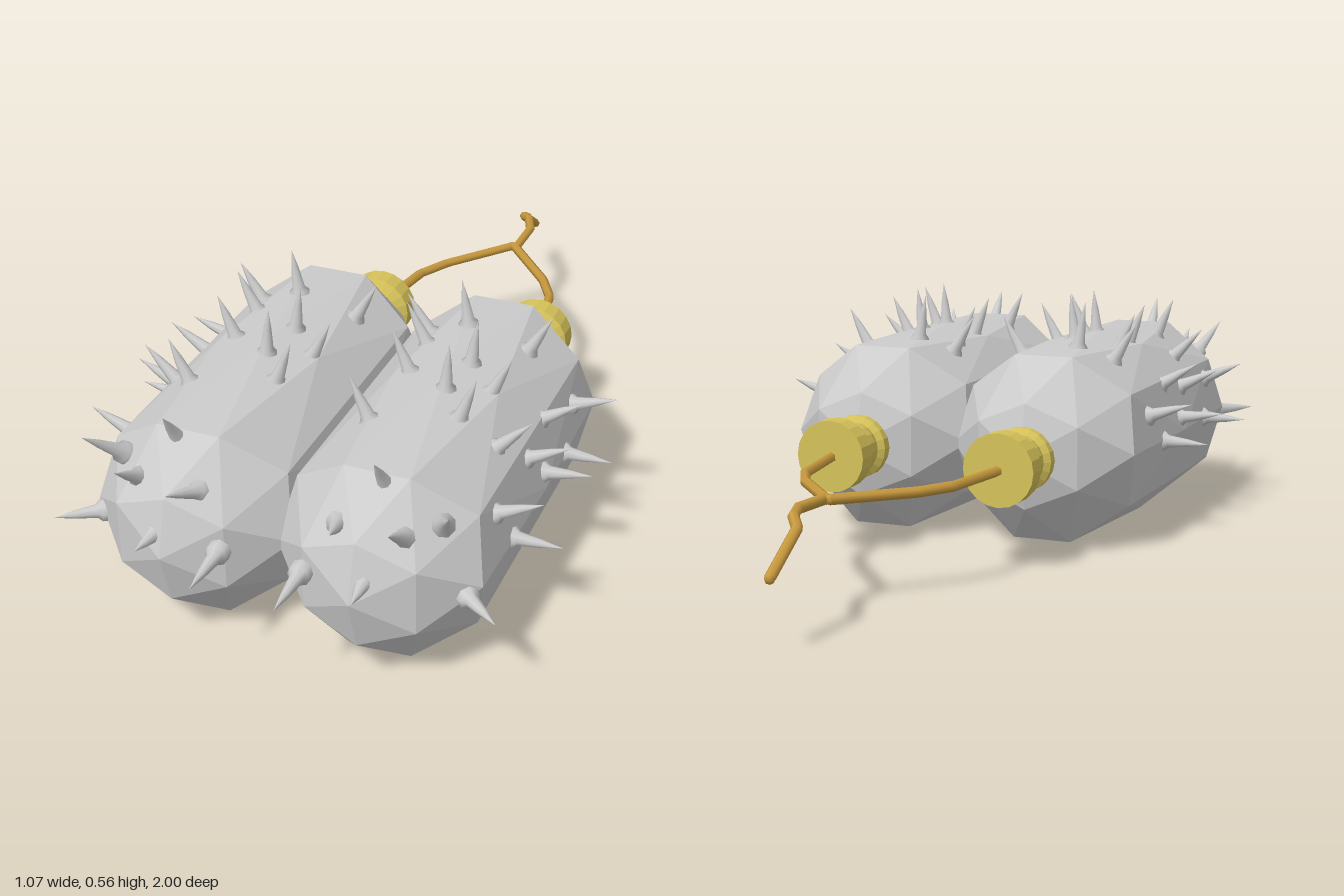
import * as THREE from 'three';
import { ConvexGeometry } from 'three/addons/geometries/ConvexGeometry.js';

const V = (x, y, z) => new THREE.Vector3(x, y, z);
const CX = 0.205, CY = 0.235;

const grey = new THREE.MeshStandardMaterial({ color: 0xcccccc, flatShading: true });
const spikeGrey = new THREE.MeshStandardMaterial({ color: 0xcccccc });
const brass = new THREE.MeshStandardMaterial({ color: 0xd6c25a, flatShading: true });
const gold = new THREE.MeshStandardMaterial({ color: 0xc99a3e });

// One octant of a faceted ball, mirrored to all eight;
// front and back halves are pulled apart along z, the waist stays in the middle
const octant = [[0, 0, 0.28], [0, 0.122, 0.245], [0.12, 0.072, 0.228], [0.07, 0.216, 0.13],
  [0.222, 0, 0.13], [0.195, 0.13, 0.08], [0.118, 0.206, 0], [0.231, 0, 0], [0, 0.23, 0]];
function bodyGeometry() {
  const corners = new Map();
  for (const [x, y, z] of octant)
    for (const sx of [1, -1]) for (const sy of [1, -1]) for (const sz of [1, -1]) {
      const p = V(sx * x, sy * y, 0.385 + sz * (z > 0 ? z + 0.245 : 0));
      corners.set(p.toArray().map(n => n.toFixed(3)).join().replaceAll('-0.000', '0.000'), p);
    }
  return new ConvexGeometry([...corners.values()]);
}

// Unit-height thorn with a small collar at its root
const thorn = new THREE.LatheGeometry(
  [[0.025, 0], [0.024, 0.16], [0.015, 0.24], [0.009, 0.62], [0, 1]].map(p => new THREE.Vector2(...p)), 8);

function addSpike(parent, base, tip) {
  const dir = tip.clone().sub(base);
  const m = new THREE.Mesh(thorn, spikeGrey);
  m.name = 'spike';
  m.position.copy(base);
  m.scale.y = dir.length();
  m.quaternion.setFromUnitVectors(V(0, 1, 0), dir.normalize());
  parent.add(m);
}

// Faceted wire following straight runs between points
function wire(name, points) {
  const path = new THREE.CurvePath();
  for (let i = 1; i < points.length; i++) path.add(new THREE.LineCurve3(points[i - 1], points[i]));
  const m = new THREE.Mesh(new THREE.TubeGeometry(path, 40, 0.012, 6), gold);
  m.name = name;
  const end = new THREE.Mesh(new THREE.SphereGeometry(0.012, 6, 4), gold);
  end.name = name + 'End';
  end.position.copy(points[points.length - 1]);
  m.add(end);
  return m;
}

// Spikes over the upper half: [sideways offset from the body axis, z]
const topSpikes = [[-0.135, 0.17], [-0.04, 0.15], [0.13, 0.17], [-0.115, 0.235], [0.035, 0.31],
  [-0.1, 0.37], [0.115, 0.38], [0.02, 0.43], [0.09, 0.51], [-0.11, 0.57]];
// Spikes on the outer flank: [degrees from straight up, z]
const flankSpikes = [[72, 0.15], [91, 0.235], [58, 0.31], [82, 0.375], [64, 0.435],
  [45, 0.51], [90, 0.58], [66, 0.635]];
// Spikes on the nose: base then tip
const noseSpikes = [
  [0.09, 0.26, 0.865, 0.09, 0.255, 1.0], [0.225, 0.275, 0.87, 0.232, 0.278, 0.955],
  [0.15, 0.36, 0.82, 0.175, 0.4, 0.92], [0.285, 0.35, 0.81, 0.29, 0.42, 0.91],
  [0.395, 0.222, 0.775, 0.485, 0.225, 0.85], [0.345, 0.365, 0.765, 0.39, 0.45, 0.86],
  [0.225, 0.42, 0.755, 0.225, 0.51, 0.82]];

export function createModel() {
  const model = new THREE.Group();
  model.name = 'twinSpikedPods';
  const podGeo = bodyGeometry();
  const neckGeo = new THREE.LatheGeometry(
    [[0, 0.06], [0.074, 0.1], [0.074, 0.132], [0.06, 0.142], [0.065, 0.16], [0.065, 0.19], [0.056, 0.203],
      [0.083, 0.217], [0.083, 0.265], [0, 0.265]].map(p => new THREE.Vector2(...p)), 20);

  for (const s of [1, -1]) {
    const side = s > 0 ? 'left' : 'right';
    const pod = new THREE.Group();
    pod.name = side + 'Pod';
    model.add(pod);

    const body = new THREE.Mesh(podGeo, grey);
    body.name = side + 'Body';
    body.position.set(s * CX, CY, 0);
    pod.add(body);

    const neck = new THREE.Mesh(neckGeo, brass);
    neck.name = side + 'Neck';
    neck.position.set(s * CX, CY - 0.002, 0);
    neck.rotation.x = -Math.PI / 2;
    pod.add(neck);

    const radial = (a, z) => {
      const at = r => V(s * CX + Math.sin(a) * r, CY + Math.cos(a) * r, z);
      addSpike(pod, at(0.205), at(0.33));
    };
    for (const [dx, z] of topSpikes) radial(Math.asin(dx / 0.26), z);
    for (const [deg, z] of flankSpikes) radial(s * THREE.MathUtils.degToRad(deg), z);
    for (const [a, b, c, d, e, f] of noseSpikes) addSpike(pod, V(s * a, b, c), V(s * d, e, f));

    // Branch wire from the neck to the joint
    model.add(wire(side + 'Wire', [V(s * CX, 0.232, -0.25), V(s * 0.175, 0.23, -0.44),
      V(s * 0.132, 0.23, -0.52), V(s * 0.004, 0.233, -0.67)]));
  }

  // Shared tail wire
  model.add(wire('tailWire', [V(0.008, 0.233, -0.66), V(0.01, 0.236, -0.78), V(-0.015, 0.236, -0.845),
    V(-0.042, 0.222, -0.88), V(-0.042, 0.15, -0.99)]));
  return model;
}
